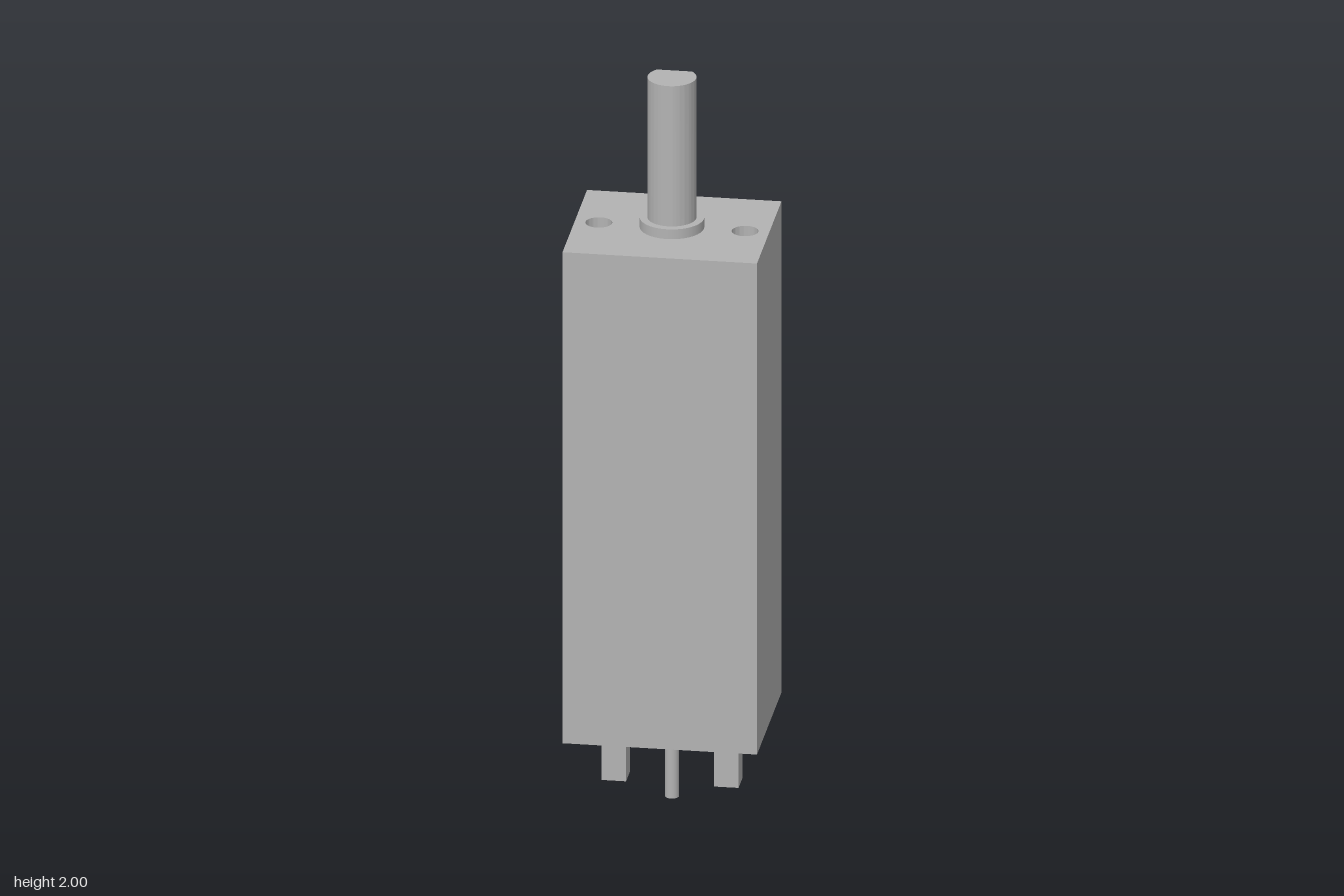
import * as THREE from 'three';
import { toCreasedNormals } from 'three/addons/utils/BufferGeometryUtils.js';

export function createModel() {
  const group = new THREE.Group();
  const grey = new THREE.MeshStandardMaterial({ name: 'grey metal', color: 0xb3b3b3 });

  const add = (name, geometry, x = 0, y = 0, z = 0) => {
    const mesh = new THREE.Mesh(geometry, grey);
    mesh.name = name;
    mesh.position.set(x, y, z);
    group.add(mesh);
  };
  // Extrudes a plan outline upwards, with smooth curves and sharp edges
  const extrudeUp = (shape, depth) => {
    const geometry = new THREE.ExtrudeGeometry(shape, { depth, bevelEnabled: false, curveSegments: 32 });
    return toCreasedNormals(geometry.rotateX(-Math.PI / 2), 0.5);
  };

  const w = 0.2525, d = 0.21, bottom = 0.217, top = 1.583, holeDepth = 0.15;

  // Solid lower body
  const bodyHeight = top - holeDepth - bottom;
  add('body', new THREE.BoxGeometry(2 * w, bodyHeight, 2 * d), 0, bottom + bodyHeight / 2);

  // Upper body with the two screw holes
  const plan = new THREE.Shape([
    new THREE.Vector2(-w, -d), new THREE.Vector2(w, -d),
    new THREE.Vector2(w, d), new THREE.Vector2(-w, d),
  ]);
  for (const side of [-1, 1]) {
    plan.holes.push(new THREE.Path().absarc(side * 0.19, 0, 0.0345, 0, Math.PI * 2, true));
  }
  add('bodyTopWithScrewHoles', extrudeUp(plan, holeDepth), 0, top - holeDepth);

  // Collar around the shaft
  add('collar', new THREE.CylinderGeometry(0.083, 0.083, 0.027, 64), 0, top + 0.0135);

  // D-shaped shaft, flat towards the back
  const r = 0.063, flat = Math.asin(0.043 / r);
  const dShape = new THREE.Shape().absarc(0, 0, r, Math.PI - flat, Math.PI * 2 + flat, false);
  dShape.closePath();
  add('shaft', extrudeUp(dShape, 2 - top), 0, top);

  // Square prongs and the round centre pin underneath
  for (const side of [-1, 1]) {
    add(side > 0 ? 'leftProng' : 'rightProng',
      new THREE.BoxGeometry(0.064, bottom - 0.047, 0.068), side * 0.146, (bottom + 0.047) / 2);
  }
  add('centrePin', new THREE.CylinderGeometry(0.0185, 0.0185, bottom, 32), 0, bottom / 2);

  return group;
}
